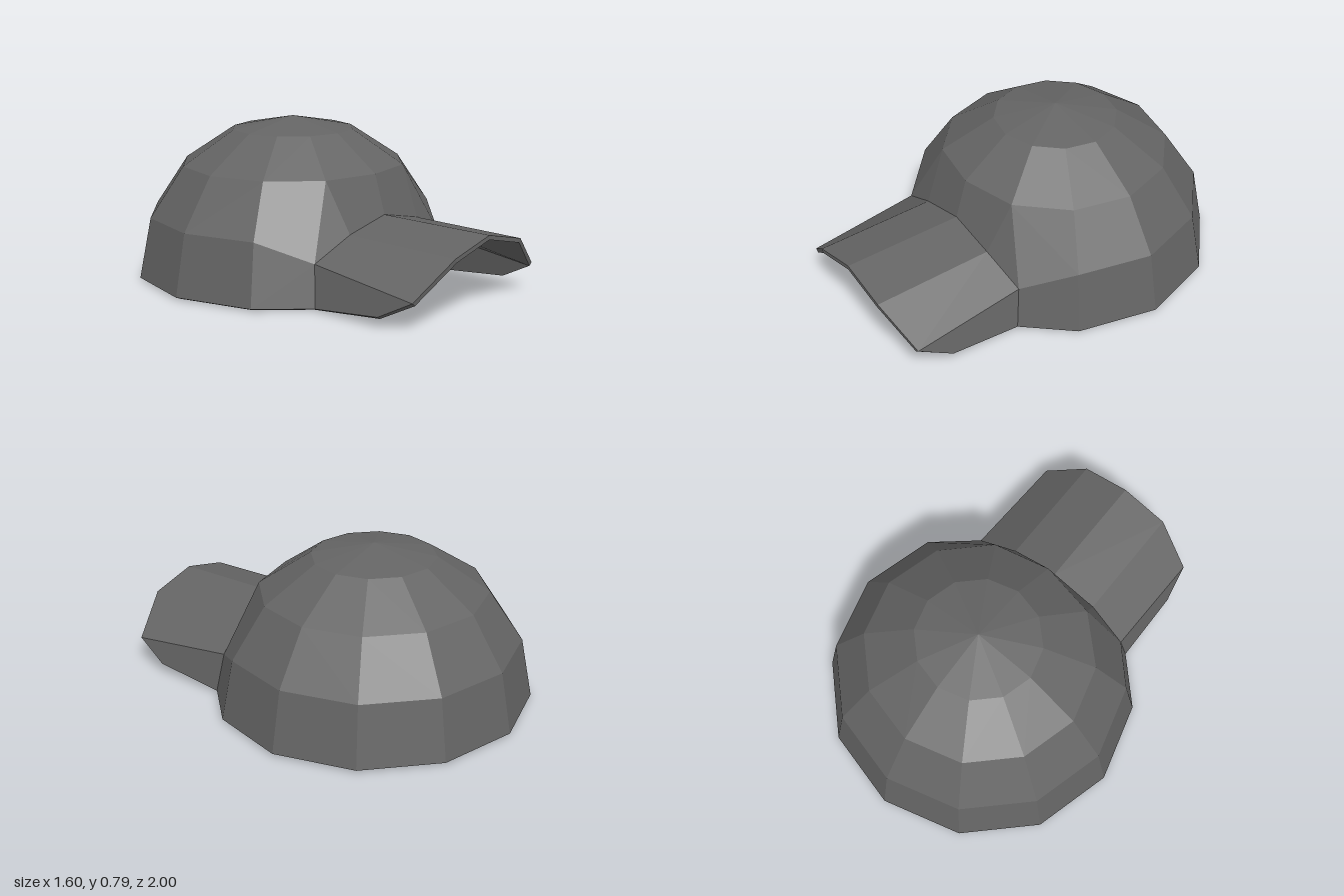
import * as THREE from 'three';

const CENTRE_Z = -0.215, SIDES = 12;
// crown profile, hem to top: [radius, height]
const PROFILE = [[0.8, 0.01], [0.74, 0.31], [0.57, 0.56], [0.31, 0.73], [0, 0.79]];
// left half of the arch where crown and brim meet, and of the brim's free edge
const ARCH = [[0, 0.37, 0.39], [0.25, 0.315, 0.39], [0.46, 0.21, 0.36], [0.49, 0.01, 0.39]];
const EDGE = [[0, 0.37, 1], [0.25, 0.31, 1], [0.46, 0.14, 0.93], [0.49, 0.05, 0.76]];

const flip = ([x, y, z]) => [x === 0 ? 0 : -x, y, z];
// reverses a face but keeps its first corner, so its diagonal stays the same
const turn = ([first, ...rest]) => [first, ...rest.reverse()];
const withMirror = (half) => [...half, ...half.map((face) => turn(face.map(flip)))];
const key = (p) => p.map((v) => Math.round(v * 1000) + 0).join();

// point on the left half of a crown ring, k = 0 at the front, pulled in to meet the brim
function ringPoint(ring, k) {
  if (ring < 2 && k === 1) return ARCH[3 - ring];
  if (ring === 2 && k === 0) return [0, 0.56, 0.33];
  const [r, y] = PROFILE[ring], a = (k / SIDES) * Math.PI * 2;
  const x = k === 0 || k === SIDES / 2 ? 0 : r * Math.sin(a);
  return [x, y, CENTRE_Z + r * 0.981 * Math.cos(a)];
}

function crownFaces() {
  // front panels above the brim
  const half = [
    [ARCH[1], ARCH[2], ringPoint(2, 1)],
    [ringPoint(2, 0), ARCH[0], ARCH[1], ringPoint(2, 1)],
  ];
  for (let ring = 0; ring < 4; ring++) {
    // the lower two rows are open under the brim
    for (let k = ring < 2 ? 1 : 0; k < SIDES / 2; k++) {
      const face = [ringPoint(ring, k + 1), ringPoint(ring + 1, k + 1)];
      if (ring < 3) face.push(ringPoint(ring + 1, k));
      half.push([...face, ringPoint(ring, k)]);
    }
  }
  return withMirror(half);
}

function brimFaces() {
  return withMirror([0, 1, 2].map((i) => [ARCH[i], EDGE[i], EDGE[i + 1], ARCH[i + 1]]));
}

// matching point on the lining
function inset([x, y, z]) {
  if (z > 0.5) return [x * 0.96, y * 0.97 - 0.01, z];
  return [x * 0.97, y * 0.982 - 0.00982, CENTRE_Z + (z - CENTRE_Z) * 0.97];
}

// outer skin, lining and a rim along every open edge
function shell(name, faces, sharedEdges) {
  const position = [], normal = [];
  // each panel gets one normal, so slightly twisted panels still look flat
  const add = (face) => {
    const corners = face.map((p) => new THREE.Vector3(...p));
    const n = new THREE.Vector3();
    corners.forEach((c, i) => n.add(c.clone().cross(corners[(i + 1) % corners.length])));
    n.normalize();
    for (let i = 1; i < face.length - 1; i++) {
      position.push(...face[0], ...face[i], ...face[i + 1]);
      for (let j = 0; j < 3; j++) normal.push(n.x, n.y, n.z);
    }
  };
  for (const face of faces) {
    add(face);
    add(turn(face.map(inset)));
    face.forEach((a, i) => {
      const b = face[(i + 1) % face.length];
      if (!sharedEdges.has(key(b) + '|' + key(a))) add([b, a, inset(a), inset(b)]);
    });
  }
  const geometry = new THREE.BufferGeometry();
  geometry.setAttribute('position', new THREE.Float32BufferAttribute(position, 3));
  geometry.setAttribute('normal', new THREE.Float32BufferAttribute(normal, 3));
  const mesh = new THREE.Mesh(geometry, new THREE.MeshStandardMaterial({ color: 0x646464 }));
  mesh.name = name;
  return mesh;
}

export function createModel() {
  const group = new THREE.Group();
  group.name = 'cap';
  const crown = crownFaces(), brim = brimFaces();
  const edges = new Set();
  for (const face of [...crown, ...brim]) {
    face.forEach((a, i) => edges.add(key(a) + '|' + key(face[(i + 1) % face.length])));
  }
  group.add(shell('crown', crown, edges), shell('brim', brim, edges));
  return group;
}
